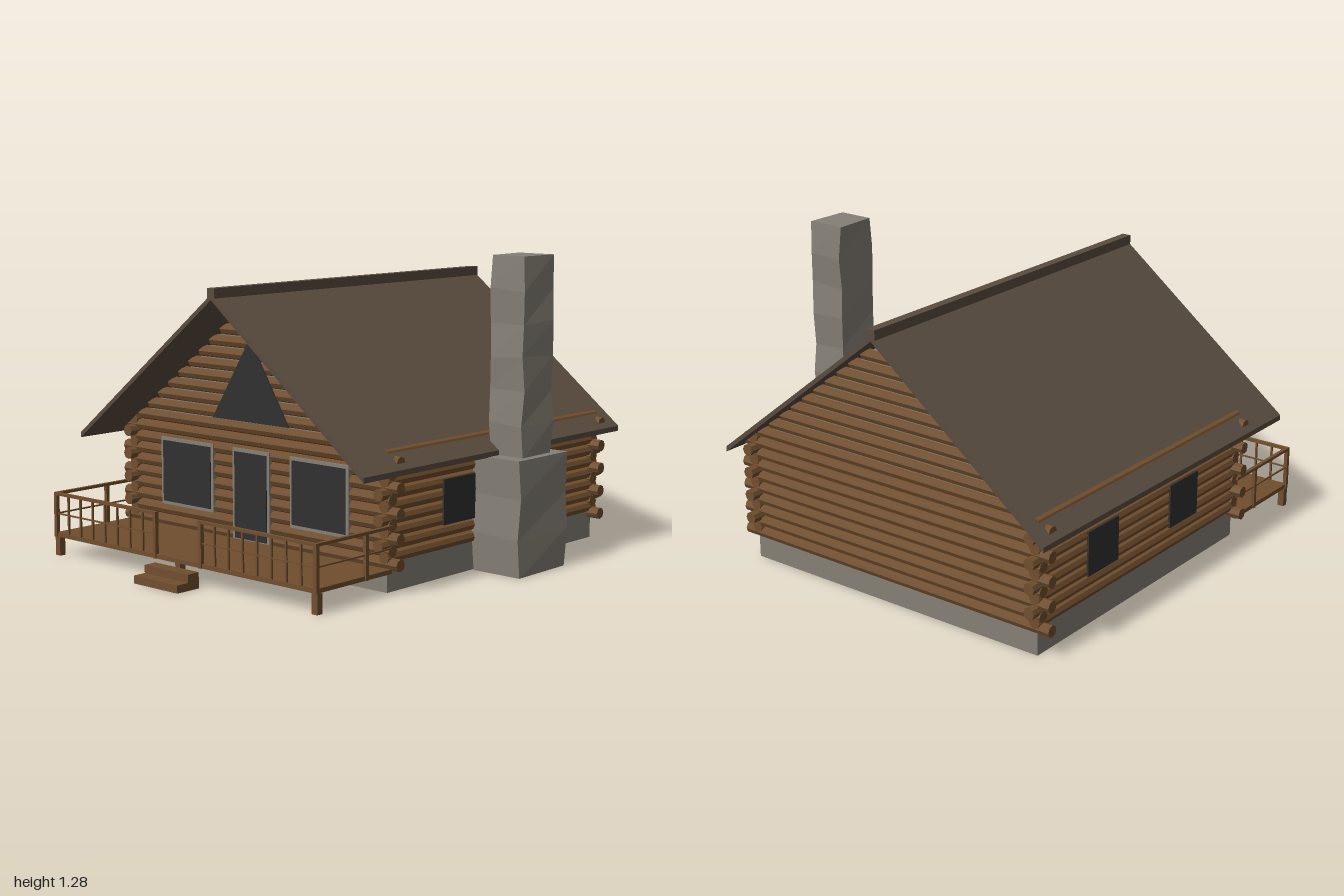
import * as THREE from 'three';

const CX = -0.08;                       // centre line of the cabin
const FRONT = 0.44, BACK = -0.91;       // log wall planes
const HALF = 0.715;                     // centre line to side walls
const SLOPE = 0.789, R = 0.025, PITCH = 0.05;

export function createModel() {
  const root = new THREE.Group();
  const mat = (name, color, extra = {}) => {
    const m = new THREE.MeshStandardMaterial({ color, ...extra });
    m.name = name;
    return m;
  };
  const wood = mat('wood', 0x704e2e, { flatShading: true });
  const stone = mat('stone', 0x858076, { flatShading: true });
  const roofing = mat('roofing', 0x5a4c40);
  const glass = mat('dark glass', 0x303030);

  const group = (name) => {
    const g = new THREE.Group();
    g.name = name;
    root.add(g);
    return g;
  };
  const add = (parent, name, geo, material) => {
    const m = new THREE.Mesh(geo, material);
    m.name = name;
    parent.add(m);
    return m;
  };
  // box given by its extents
  const box = (parent, name, material, x0, x1, y0, y1, z0, z1) => {
    const m = add(parent, name, new THREE.BoxGeometry(x1 - x0, y1 - y0, z1 - z0), material);
    m.position.set((x0 + x1) / 2, (y0 + y1) / 2, (z0 + z1) / 2);
    return m;
  };
  const extrude = (pts, depth) => new THREE.ExtrudeGeometry(
    new THREE.Shape(pts.map(([x, y]) => new THREE.Vector2(x, y))), { depth, bevelEnabled: false });

  // foundation: four walls, open below, closed by a floor
  const foundation = group('foundation');
  box(foundation, 'foundationFloor', stone, -0.8, 0.64, 0.105, 0.12, -0.92, 0.45);
  for (const [z0, z1] of [[0.44, 0.45], [-0.92, -0.91]])
    box(foundation, 'foundationWall', stone, -0.8, 0.64, 0, 0.105, z0, z1);
  for (const [x0, x1] of [[-0.8, -0.79], [0.63, 0.64]])
    box(foundation, 'foundationWall', stone, x0, x1, 0, 0.105, -0.91, 0.44);

  // log walls, every second log running past the corner
  const walls = group('logWalls');
  const logX = (y, z, half) => {
    const m = add(walls, 'log', new THREE.CylinderGeometry(R, R, half * 2, 8), wood);
    m.rotation.z = Math.PI / 2;
    m.position.set(CX, y, z);
  };
  const logZ = (x, y, half) => {
    const m = add(walls, 'log', new THREE.CylinderGeometry(R, R, half * 2, 8), wood);
    m.rotation.x = Math.PI / 2;
    m.position.set(x, y, (FRONT + BACK) / 2);
  };
  for (let k = 0; k < 9; k++) {
    for (const z of [FRONT, BACK]) logX(0.115 + k * PITCH, z, k % 2 ? 0.74 : 0.78);
    for (const s of [-1, 1]) logZ(CX + s * HALF, 0.14 + k * PITCH, k % 2 ? 0.735 : 0.7);
  }
  // gable logs shorten up to the ridge
  for (let k = 0; k < 10; k++) {
    const y = 0.565 + k * PITCH;
    for (const z of [FRONT, BACK]) logX(y, z, (1.105 - y) / SLOPE);
  }
  // panels behind the gable logs
  for (const z of [FRONT - 0.005, BACK - 0.005])
    add(walls, 'gablePanel', extrude([[CX - 0.66, 0.56], [CX + 0.66, 0.56], [CX, 1.092]], 0.01), stone).position.z = z;

  // roof slopes and ridge cap
  const roof = group('roof');
  const e = 0.805, top = 1.13, under = 1.108;
  add(roof, 'roofSlopes', extrude([
    [CX - e, top - e * SLOPE], [CX, top], [CX + e, top - e * SLOPE],
    [CX + e, under - e * SLOPE], [CX, under], [CX - e, under - e * SLOPE],
  ], 1.685), roofing).position.z = -1;
  box(roof, 'ridgeCap', roofing, CX - 0.02, CX + 0.02, 1.115, 1.155, -1, 0.685);

  // front windows and door with stone-coloured frames
  const openings = group('windowsAndDoor');
  for (const [name, x0, x1, y0, y1] of [
    ['frontWindow', -0.615, -0.3, 0.19, 0.48],
    ['frontWindow', 0.14, 0.455, 0.19, 0.48],
    ['door', -0.185, 0.025, 0.1, 0.48],
  ]) {
    const w = 0.014;
    box(openings, name + 'Frame', stone, x0, x1, y0, y1, 0.45, 0.468);
    box(openings, name, glass, x0 + w, x1 - w, y0 + (name === 'door' ? 0.005 : w), y1 - w, 0.465, 0.472);
  }
  add(openings, 'gableWindow', extrude([[CX - 0.215, 0.595], [CX + 0.215, 0.595], [CX, 0.935]], 0.009), glass)
    .position.z = 0.463;
  // side windows
  for (const s of [-1, 1]) for (const z of [0.033, -0.532]) {
    const x = CX + s * (HALF + 0.025);
    box(openings, 'sideWindow', glass, x - 0.0045, x + 0.0045, 0.22, 0.405, z - 0.1, z + 0.1);
  }

  // chimney: stone courses, each a little out of line
  const chimney = group('chimney');
  const stack = (name, x0, x1, y0, y1, z0, z1, rows) => {
    const m = box(chimney, name, stone, x0, x1, y0, y1, z0, z1);
    m.geometry.dispose();
    m.geometry = new THREE.BoxGeometry(x1 - x0, y1 - y0, z1 - z0, 1, rows, 1);
    const p = m.geometry.attributes.position;
    for (let i = 0; i < p.count; i++) {
      const row = Math.round((p.getY(i) / (y1 - y0) + 0.5) * rows);
      const sx = Math.sign(p.getX(i)), sz = Math.sign(p.getZ(i));
      p.setX(i, p.getX(i) + 0.005 * Math.sin(row * 2.3 + sx + sz * 2));
      p.setZ(i, p.getZ(i) + 0.005 * Math.sin(row * 3.1 + sz + sx * 3));
      if (row > 0 && row < rows) p.setY(i, p.getY(i) + 0.007 * Math.sin(row * 1.7 + sx * 2 + sz));
    }
    m.geometry.computeVertexNormals();
  };
  stack('chimneyBase', 0.645, 0.88, 0, 0.475, -0.395, -0.075, 3);
  stack('chimneyStack', 0.679, 0.843, 0.47, 1.28, -0.336, -0.138, 6);

  // porch deck and its posts
  const porch = group('porch');
  box(porch, 'deck', wood, -0.825, 0.665, 0.08, 0.098, 0.45, 0.88);
  const deckX = [-0.83, 0.642];
  for (const x of [...deckX, CX - 0.014])
    box(porch, 'deckPost', wood, x, x + 0.028, 0, 0.08, 0.852, 0.88);

  // railings: a half on each side of the steps
  const railings = group('railings');
  for (const s of [-1, 1]) {
    const bar = (name, a, b, y0, y1, z0, z1) => box(railings, name, wood,
      CX + Math.min(s * a, s * b), CX + Math.max(s * a, s * b), y0, y1, z0, z1);
    bar('topRail', 0.122, 0.75, 0.258, 0.27, 0.868, 0.885);
    bar('middleRail', 0.122, 0.75, 0.176, 0.182, 0.873, 0.879);
    for (const a of [0.122, 0.734]) bar('railPost', a, a + 0.016, 0.08, 0.27, 0.868, 0.885);
    for (let i = 1; i < 8; i++) {
      const a = 0.13 + i * 0.0765;
      bar('baluster', a - 0.004, a + 0.004, 0.095, 0.262, 0.872, 0.88);
    }
    bar('sideTopRail', 0.734, 0.75, 0.258, 0.27, 0.45, 0.885);
    bar('sideMiddleRail', 0.739, 0.745, 0.176, 0.182, 0.45, 0.885);
    bar('sidePost', 0.734, 0.75, 0.08, 0.27, 0.592, 0.608);
  }

  // steps
  const steps = group('steps');
  box(steps, 'lowerStep', wood, CX - 0.125, CX + 0.125, 0, 0.032, 0.885, 1);
  box(steps, 'upperStep', wood, CX - 0.125, CX + 0.125, 0.032, 0.065, 0.885, 0.942);

  return root;
}
